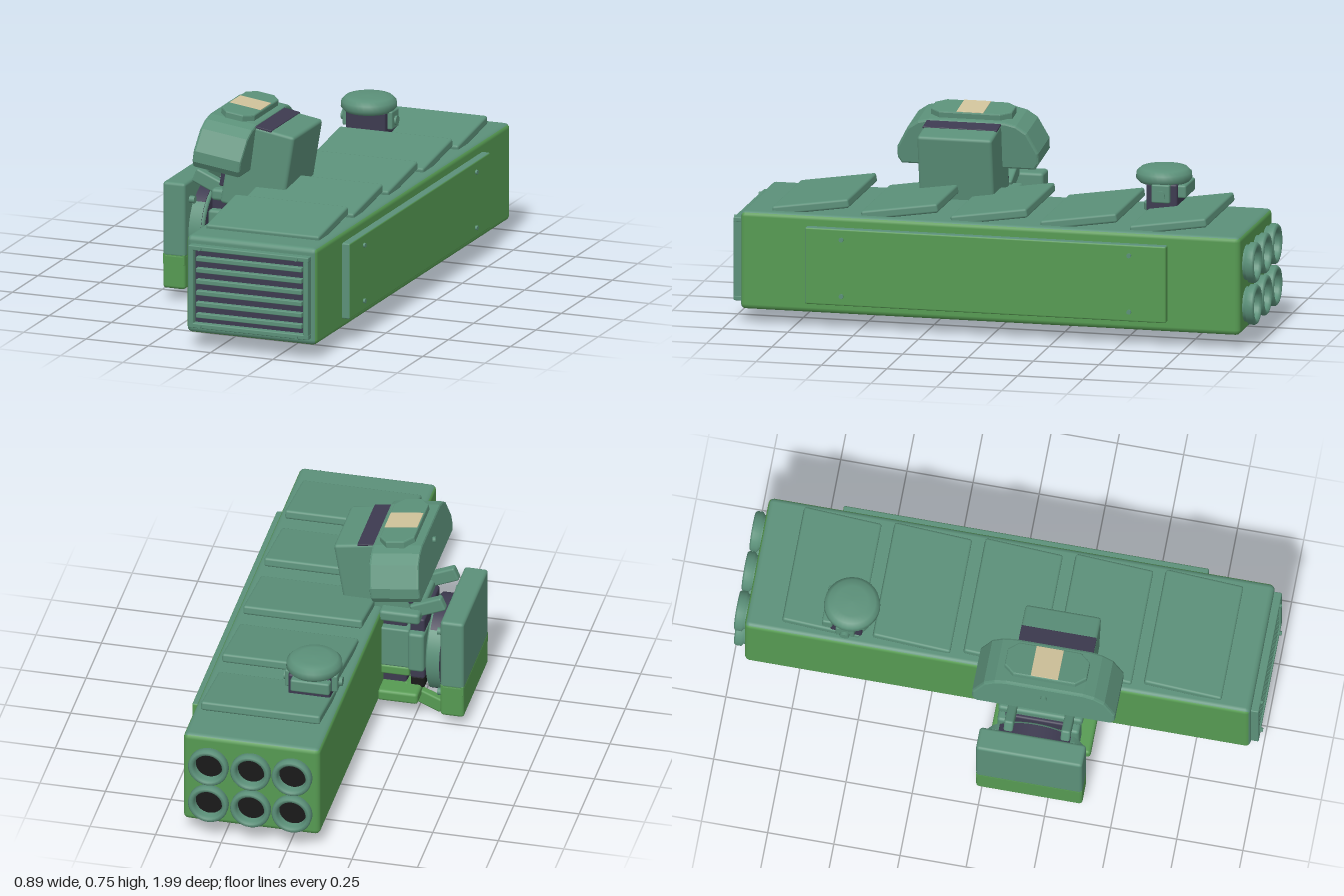
import * as THREE from 'three';
import { RoundedBoxGeometry } from 'three/addons/geometries/RoundedBoxGeometry.js';

const paint = (name, color, side = THREE.FrontSide) => {
  const m = new THREE.MeshStandardMaterial({ color, side });
  m.name = name;
  return m;
};

export function createModel() {
  const root = new THREE.Group();
  root.name = 'launcherPod';
  const teal = paint('teal', 0x5b9079, THREE.DoubleSide);
  const green = paint('green', 0x569a52);
  const dark = paint('darkPurple', 0x3d3a50);
  const tan = paint('tan', 0xcfc29a);
  const black = paint('black', 0x191919);

  const add = (name, geo, mat, x, y, z, parent = root) => {
    const m = new THREE.Mesh(geo, mat);
    m.name = name;
    m.position.set(x, y, z);
    parent.add(m);
    return m;
  };
  // Rounded block given by its extents
  const block = (name, mat, [x0, x1], [y0, y1], [z0, z1], r = 0.008, parent = root) =>
    add(name, new RoundedBoxGeometry(x1 - x0, y1 - y0, z1 - z0, 2, r), mat,
      (x0 + x1) / 2, (y0 + y1) / 2, (z0 + z1) / 2, parent);
  // Cylinder along a chosen axis
  const rod = (name, mat, axis, r, len, x, y, z, sides = 24, parent = root) => {
    const g = new THREE.CylinderGeometry(r, r, len, sides);
    if (axis === 'x') g.rotateZ(Math.PI / 2);
    if (axis === 'z') g.rotateX(Math.PI / 2);
    return add(name, g, mat, x, y, z, parent);
  };

  // Hull: teal top and front, green elsewhere
  block('hull', [green, green, teal, green, teal, green], [-0.116, 0.406], [0.058, 0.432], [-0.956, 0.956], 0.02);

  // Tilted roof hatches
  for (const z of [0.695, 0.355, 0.013, -0.33, -0.672]) {
    const h = add('roofHatch', new RoundedBoxGeometry(0.455, 0.035, 0.295, 2, 0.009), teal, 0.143, 0.452, z);
    h.rotation.x = 0.15;
  }

  // Front grille: frame, dark recess, slats and bolts
  block('grilleBack', dark, [-0.08, 0.368], [0.102, 0.39], [0.94, 0.96], 0.002);
  for (const y of [0.0945, 0.3935]) block('grilleFrameRail', teal, [-0.096, 0.386], [y - 0.0095, y + 0.0095], [0.94, 0.985], 0.004);
  for (const x of [-0.086, 0.375]) block('grilleFramePost', teal, [x - 0.01, x + 0.01], [0.085, 0.403], [0.94, 0.985], 0.004);
  for (let i = 0; i < 6; i++) {
    const y = 0.133 + i * 0.0436;
    block('grilleSlat', teal, [-0.067, 0.357], [y - 0.009, y + 0.009], [0.955, 0.98], 0.003);
  }
  for (const x of [-0.05, 0.338]) for (const y of [0.0945, 0.3935])
    rod('grilleBolt', teal, 'z', 0.008, 0.014, x, y, 0.986, 6);

  // Service panel on the left flank
  block('sidePanel', [green, green, teal, green, teal, green], [0.4, 0.436], [0.098, 0.39], [-0.68, 0.7], 0.006);
  for (const z of [0.56, -0.54]) for (const y of [0.135, 0.35])
    rod('panelBolt', teal, 'x', 0.009, 0.014, 0.437, y, z, 8);

  // Six rear tubes with dark bores
  const lip = [[0.052, 0], [0.053, 0.04], [0.06, 0.05], [0.07, 0.05], [0.076, 0.043], [0.076, 0.022], [0.066, 0.015], [0.066, 0]]
    .map(([r, y]) => new THREE.Vector2(r, y));
  for (const x of [-0.017, 0.141, 0.302]) for (const y of [0.158, 0.318]) {
    add('rearTube', new THREE.LatheGeometry(lip, 28), teal, x, y, -0.95).rotation.x = -Math.PI / 2;
    rod('tubeBore', black, 'z', 0.054, 0.014, x, y, -0.958, 28);
  }

  // Domed sensor on the roof
  const sensor = new THREE.Group();
  sensor.name = 'domeSensor';
  sensor.position.set(-0.005, 0, -0.568);
  root.add(sensor);
  const cap = [[0, 0.538], [0.092, 0.538], [0.105, 0.553], [0.103, 0.575], [0.088, 0.59], [0.06, 0.596], [0, 0.598]]
    .map(([r, y]) => new THREE.Vector2(r, y));
  add('sensorCap', new THREE.LatheGeometry(cap, 32), teal, 0, 0, 0, sensor);
  rod('sensorBase', teal, 'y', 0.075, 0.03, 0, 0.443, 0, 24, sensor);
  block('sensorCore', dark, [-0.075, 0.085], [0.44, 0.545], [-0.07, 0.05], 0.008, sensor);
  for (const s of [-1, 1]) {
    block('sensorBracket', teal, s < 0 ? [-0.098, -0.07] : [0.075, 0.103], [0.475, 0.545], [-0.045, 0.025], 0.006, sensor);
    rod('sensorPivot', teal, 'x', 0.018, 0.012, s * 0.105, 0.505, -0.01, 12, sensor);
  }
  block('sensorRearBlock', teal, [-0.08, 0.07], [0.49, 0.54], [-0.1, -0.06], 0.008, sensor);

  // Side mount: core, blocks and shelves
  block('mountCore', dark, [-0.205, -0.11], [0.1, 0.42], [0.08, 0.29]);
  block('mountBlock', teal, [-0.222, -0.11], [0.19, 0.355], [0.05, 0.33]);
  block('mountBlockLower', green, [-0.222, -0.11], [0.154, 0.192], [0.05, 0.33]);
  block('hubCore', dark, [-0.278, -0.222], [0.145, 0.405], [0.06, 0.31]);
  block('hubFoot', black, [-0.276, -0.222], [0.1, 0.147], [0.07, 0.3]);
  block('hubCover', teal, [-0.282, -0.22], [0.19, 0.355], [0.03, 0.34], 0.012);
  block('lowerShelf', green, [-0.265, -0.11], [0.065, 0.111], [0.0, 0.38], 0.012);
  block('upperShelf', teal, [-0.265, -0.11], [0.395, 0.44], [0.03, 0.35], 0.012);
  rod('lowerDisc', teal, 'y', 0.074, 0.034, -0.142, 0.052, 0.192, 32);

  // Slanted arms joining the mount to the outer shield
  for (const z of [0.085, 0.3]) {
    add('upperArm', new RoundedBoxGeometry(0.13, 0.055, 0.035, 2, 0.008), teal, -0.287, 0.452, z).rotation.z = -0.4;
    add('lowerArm', new RoundedBoxGeometry(0.17, 0.055, 0.035, 2, 0.008), green, -0.268, 0.058, z).rotation.z = 0.4;
  }

  // Bearing wheel with teal rim arcs
  rod('bearingWheel', dark, 'x', 0.18, 0.046, -0.326, 0.25, 0.18, 40);
  for (const start of [-0.75, Math.PI - 0.75]) {
    const arc = new THREE.CylinderGeometry(0.184, 0.184, 0.048, 20, 1, true, start, 1.5);
    add('bearingRimArc', arc.rotateZ(Math.PI / 2), teal, -0.325, 0.25, 0.18);
  }
  const rim = new THREE.TorusGeometry(0.165, 0.012, 8, 40).rotateY(Math.PI / 2);
  add('bearingRing', rim, teal, -0.304, 0.25, 0.18);
  for (const y of [0.12, 0.25, 0.385]) for (const z of [0.03, 0.33])
    rod('wheelBolt', teal, 'x', 0.014, 0.025, -0.348, y, z, 10);

  // Outer shield: teal above, green below
  const shieldX = [-0.446, -0.356], shieldZ = [-0.02, 0.382];
  block('shieldUpper', teal, shieldX, [0.17, 0.457], shieldZ, 0.012);
  block('shieldLower', green, shieldX, [0.047, 0.182], shieldZ, 0.012);
  block('shieldSeam', green, [-0.445, -0.357], [0.14, 0.18], [-0.019, 0.381], 0.001);

  // Tilted turret neck
  const neck = new THREE.Group();
  neck.name = 'turretNeck';
  neck.position.set(-0.076, 0.533, 0.217);
  neck.rotation.z = -0.165;
  root.add(neck);
  block('neckBody', teal, [-0.125, 0.125], [-0.163, 0.163], [-0.143, 0.143], 0.012, neck);
  block('neckBack', dark, [-0.14, -0.1], [-0.1, 0.15], [-0.138, 0.138], 0.006, neck);
  block('neckTopBand', dark, [-0.08, 0.032], [0.158, 0.166], [-0.142, 0.142], 0.002, neck);

  // Turret head: chamfered profile swept across its width
  const head = new THREE.Group();
  head.name = 'turretHead';
  head.position.set(-0.186, 0.627, 0.206);
  head.rotation.z = -0.135;
  root.add(head);
  const half = [[0.25, -0.08], [0.262, -0.062], [0.262, -0.025], [0.222, 0.05], [0.185, 0.075], [0.145, 0.085]];
  const outline = [...half, ...half.map(([z, y]) => [-z, y]).reverse()].map(([z, y]) => new THREE.Vector2(z, y));
  const hull = new THREE.ExtrudeGeometry(new THREE.Shape(outline),
    { depth: 0.172, bevelEnabled: true, bevelThickness: 0.01, bevelSize: 0.008, bevelSegments: 2 });
  hull.translate(0, 0, -0.086).rotateY(-Math.PI / 2);
  add('headShell', hull, teal, 0, 0, 0, head);
  rod('headStud', teal, 'x', 0.012, 0.015, -0.1, 0.03, 0, 10, head);

  // Head cap with cut corners and a tan patch
  const corner = [[0.062, -0.115], [0.062, 0.115], [0.032, 0.15], [-0.032, 0.15], [-0.062, 0.115], [-0.062, -0.115], [-0.032, -0.15], [0.032, -0.15]];
  const plate = new THREE.ExtrudeGeometry(new THREE.Shape(corner.map(([x, z]) => new THREE.Vector2(x, z))),
    { depth: 0.026, bevelEnabled: true, bevelThickness: 0.005, bevelSize: 0.005, bevelSegments: 2 });
  plate.rotateX(-Math.PI / 2);
  add('headCap', plate, teal, 0.003, 0.086, -0.006, head);
  block('capPatch', tan, [-0.06, 0.066], [0.112, 0.119], [-0.058, 0.045], 0.001, head);

  return root;
}
